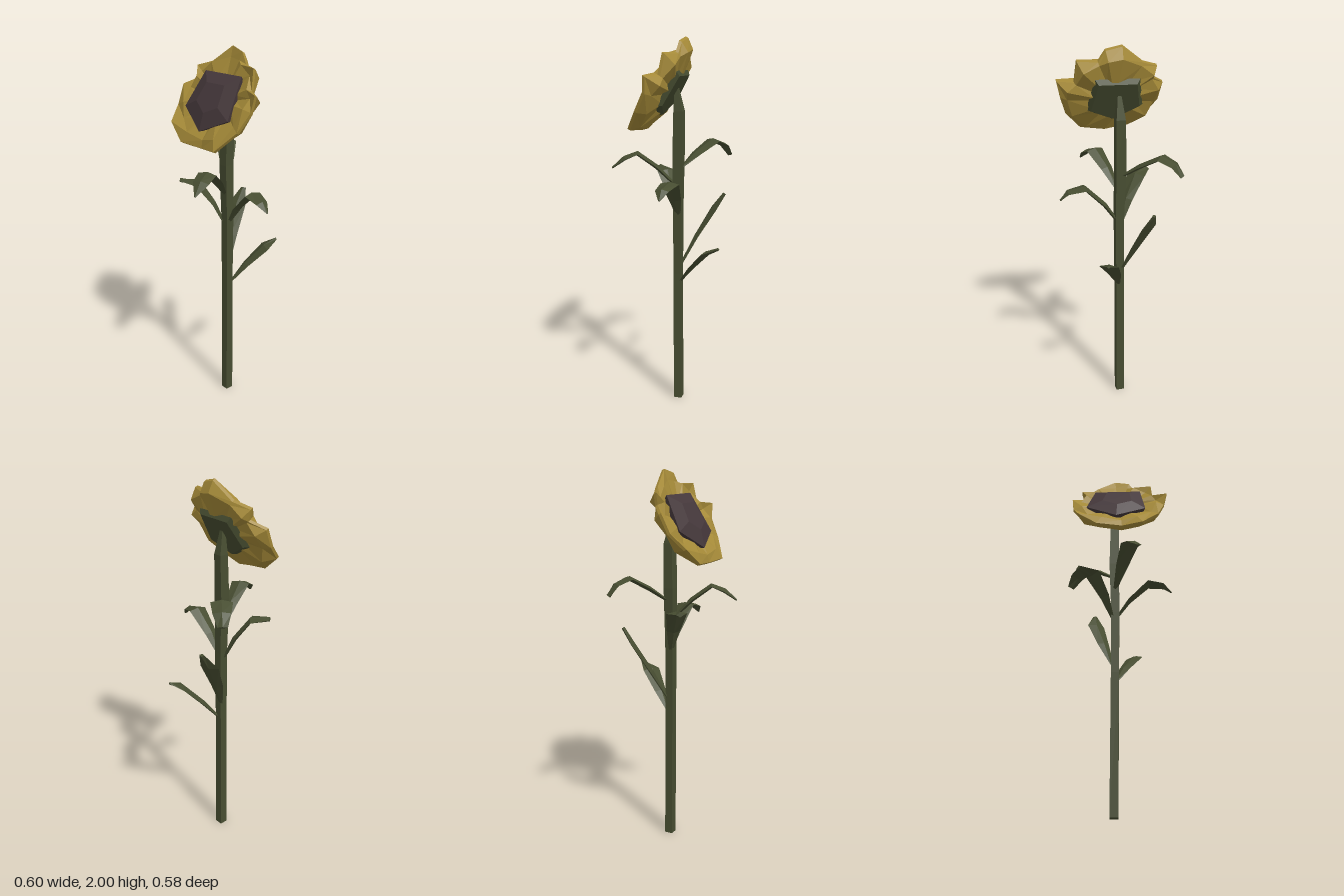
import * as THREE from 'three';

const V = (x, y, z) => new THREE.Vector3(x, y, z);
const paint = (color) => new THREE.MeshStandardMaterial({ color, flatShading: true, roughness: 1 });
const green = paint(0x474d31), yellow = paint(0xa58a38), brown = paint(0x45383b);

// Skin a list of equal-length rings (counter-clockwise about the travel direction) and cap both ends
function loft(name, rings, material) {
  const pos = [];
  const tri = (...pts) => pts.forEach((p) => pos.push(p.x, p.y, p.z));
  const n = rings[0].length;
  for (let r = 0; r < rings.length - 1; r++) {
    const a = rings[r], b = rings[r + 1];
    for (let i = 0; i < n; i++) {
      const j = (i + 1) % n;
      tri(a[i], a[j], b[j]);
      tri(a[i], b[j], b[i]);
    }
  }
  const centre = (ring) => ring.reduce((s, p) => s.add(p), V(0, 0, 0)).divideScalar(n);
  const first = rings[0], last = rings[rings.length - 1];
  const c0 = centre(first), c1 = centre(last);
  for (let i = 0; i < n; i++) {
    const j = (i + 1) % n;
    tri(c0, first[j], first[i]);
    tri(c1, last[i], last[j]);
  }
  const g = new THREE.BufferGeometry();
  g.setAttribute('position', new THREE.Float32BufferAttribute(pos, 3));
  g.computeVertexNormals();
  const mesh = new THREE.Mesh(g, material);
  mesh.name = name;
  return mesh;
}

// Four-sided stem, tapering to a point behind the flower
function makeStem() {
  const stations = [
    [0, -0.023, -0.04, 0.031], [0.75, -0.02, -0.037, 0.03], [1.1, -0.018, -0.036, 0.032],
    [1.4, -0.025, -0.035, 0.037], [1.63, -0.022, -0.038, 0.034], [1.79, -0.02, -0.022, 0.006],
  ];
  return loft('stem', stations.map(([y, x, z, r]) => [0, 1, 2, 3].map((i) => {
    const a = Math.PI / 4 + i * Math.PI / 2;
    return V(x + r * Math.cos(a), y, z - r * Math.sin(a));
  })), green);
}

// Leaf: diamond cross-sections along a bent midrib; each station is x, y, z, half width
function makeLeaf(name, stations) {
  const pts = stations.map(([x, y, z]) => V(x, y, z));
  const run = pts[pts.length - 1].clone().sub(pts[0]).setY(0).normalize();
  const side = V(0, 1, 0).cross(run);
  const rings = pts.map((p, i) => {
    const dir = pts[Math.min(i + 1, pts.length - 1)].clone().sub(pts[Math.max(i - 1, 0)]);
    const up = dir.cross(side).normalize();
    const w = stations[i][3];
    const t = Math.min(0.012, w * 0.5 + 0.002);
    return [
      p.clone().addScaledVector(side, w), p.clone().addScaledVector(up, t),
      p.clone().addScaledVector(side, -w), p.clone().addScaledVector(up, -t),
    ];
  });
  return loft(name, rings, green);
}

// Flower head, built facing +z and then tilted upward
function makeHead() {
  const head = new THREE.Group();
  head.name = 'flowerHead';

  // Petal outline: x, y, depth
  const rim = [
    [-0.02, 0.271, 0.0], [-0.13, 0.185, -0.02], [-0.215, 0.14, 0.0], [-0.2, 0.09, -0.03],
    [-0.265, 0.03, 0.0], [-0.255, -0.075, -0.01], [-0.225, -0.175, 0.015], [-0.12, -0.255, -0.005],
    [0.02, -0.25, -0.025], [0.135, -0.25, 0.0], [0.225, -0.13, -0.01], [0.26, -0.02, -0.01],
    [0.278, 0.055, 0.025], [0.2, 0.08, -0.02], [0.19, 0.18, 0.015], [0.095, 0.2, -0.02], [0.06, 0.25, 0.0],
  ];
  const ring = (radius, mix, depth) => rim.map(([x, y], i) => {
    const a = Math.atan2(y, x), r = Math.hypot(x, y) * mix + radius * (1 - mix);
    return V(r * Math.cos(a), r * Math.sin(a), depth + (i % 2 ? 0.008 : -0.008));
  });
  head.add(loft('petals', [
    ring(0.11, 0, -0.075), ring(0.2, 0.5, -0.055),
    rim.map(([x, y, z]) => V(x, y, z - 0.012)), rim.map(([x, y, z]) => V(x, y, z + 0.004)),
    ring(0.2, 0.25, 0.0), ring(0.11, 0, -0.02),
  ], yellow));

  // Five-sided domed seed disc
  const five = [[0.125, 0.131], [-0.135, 0.122], [-0.18, -0.076], [-0.012, -0.178], [0.152, -0.093]];
  const pent = (s, z, dy = 0) => five.map(([x, y]) => V(x * s, y * s + dy, z));
  head.add(loft('seedDisc', [pent(0.9, -0.03), pent(1, 0.008), pent(0.5, 0.032)], brown));

  // Green cup on the back
  head.add(loft('calyx', [pent(0.75, -0.092, 0.01), pent(0.88, -0.068, 0.01), pent(0.7, -0.05)], green));

  head.position.set(0, 1.765, 0.06);
  head.rotation.x = -Math.PI / 6;
  return head;
}

export function createModel() {
  const model = new THREE.Group();
  model.name = 'sunflower';
  model.add(makeStem(), makeHead());

  // Leaves from the lowest to the highest
  const leaves = [
    [[-0.015, 0.7, -0.045, 0.008], [0.03, 0.81, -0.13, 0.035], [0.085, 0.91, -0.22, 0.052], [0.105, 0.945, -0.288, 0.01]],
    [[-0.03, 0.79, -0.045, 0.008], [-0.085, 0.95, -0.12, 0.035], [-0.13, 1.1, -0.205, 0.05], [-0.138, 1.185, -0.26, 0.014]],
    [[-0.015, 1.07, -0.04, 0.01], [0.06, 1.18, -0.04, 0.035], [0.165, 1.285, -0.045, 0.05], [0.25, 1.265, -0.03, 0.036], [0.292, 1.225, -0.03, 0.006]],
    [[-0.03, 1.06, -0.03, 0.01], [-0.075, 1.18, 0.01, 0.035], [-0.14, 1.29, 0.065, 0.055], [-0.215, 1.3, 0.125, 0.02]],
    [[-0.02, 1.24, -0.02, 0.01], [0.02, 1.34, 0.07, 0.035], [0.06, 1.415, 0.165, 0.05], [0.085, 1.39, 0.225, 0.045], [0.112, 1.34, 0.285, 0.005]],
    [[-0.03, 1.33, -0.045, 0.01], [-0.11, 1.4, -0.11, 0.04], [-0.195, 1.46, -0.18, 0.055], [-0.25, 1.43, -0.225, 0.045], [-0.285, 1.375, -0.25, 0.025]],
  ];
  leaves.forEach((stations, i) => model.add(makeLeaf(`leaf${i + 1}`, stations)));
  return model;
}
